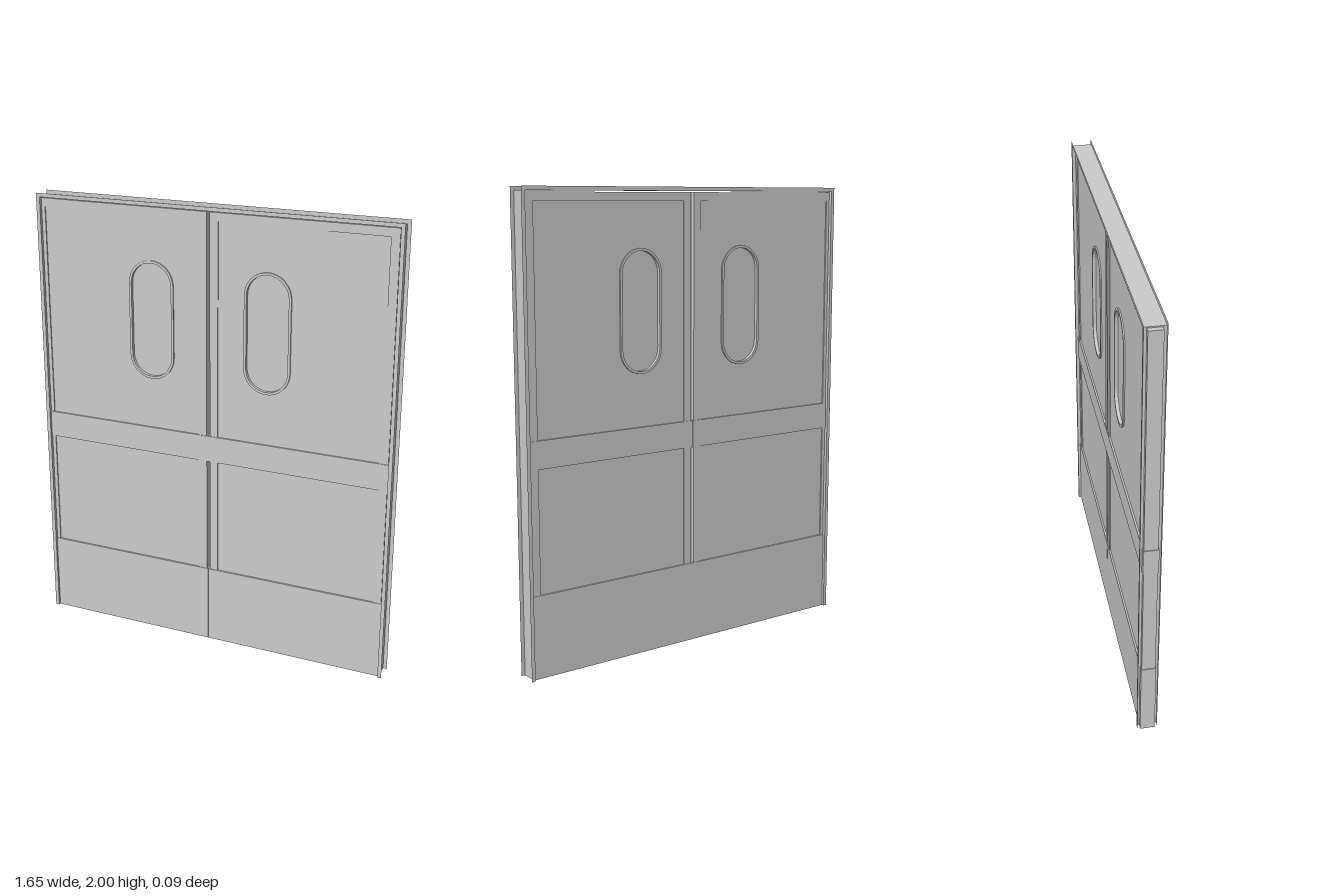
import * as THREE from 'three';

const grey = new THREE.MeshStandardMaterial({ color: 0xcccccc, flatShading: true });
const sheet = new THREE.MeshStandardMaterial({ color: 0xcccccc, flatShading: true, side: THREE.DoubleSide });

function add(parent, name, geometry, material = grey) {
  const mesh = new THREE.Mesh(geometry, material);
  mesh.name = name;
  parent.add(mesh);
  return mesh;
}

// Block between two x values and two y values, centred on z = 0
function block(x0, x1, y0, y1, depth) {
  return new THREE.BoxGeometry(Math.abs(x1 - x0), y1 - y0, depth)
    .translate((x0 + x1) / 2, (y0 + y1) / 2, 0);
}

function rect(path, x0, x1, y0, y1) {
  path.moveTo(x0, y0);
  path.lineTo(x1, y0);
  path.lineTo(x1, y1);
  path.lineTo(x0, y1);
  path.closePath();
  return path;
}

// Upright window outline with half-round ends
function stadium(path, cx, r, yLow, yHigh) {
  path.absarc(cx, yHigh, r, 0, Math.PI, false);
  path.absarc(cx, yLow, r, Math.PI, Math.PI * 2, false);
  path.closePath();
  return path;
}

function slab(shape, depth) {
  return new THREE.ExtrudeGeometry(shape, { depth, bevelEnabled: false, curveSegments: 8 })
    .translate(0, 0, -depth / 2);
}

const MIDDLE = -0.0125; // where the two leaves meet
const TOP = 1.978;
const LEAF = { gap: 0.0075, width: 0.806, inset: 0.037 };
const WINDOW = { offset: 0.268, low: 1.33, high: 1.645, outer: 0.105, inner: 0.094 };

function makeLeaf(side) {
  const leaf = new THREE.Group();
  leaf.name = side < 0 ? 'rightDoor' : 'leftDoor';
  const at = (d) => MIDDLE + side * d;
  const span = (a, b) => [Math.min(at(a), at(b)), Math.max(at(a), at(b))];
  const near = LEAF.gap, far = LEAF.gap + LEAF.width, i = LEAF.inset;
  const cx = at(WINDOW.offset);

  // Border of stiles and rails around the sunken panel
  const border = rect(new THREE.Shape(), ...span(near, far), 0.003, TOP);
  border.holes.push(rect(new THREE.Path(), ...span(near + i, far - i), 0.04, TOP - i));
  add(leaf, 'doorBorder', slab(border, 0.058));

  // Sunken panel with the window opening
  const panel = rect(new THREE.Shape(), ...span(near + i, far - i), 0.04, TOP - i);
  panel.holes.push(stadium(new THREE.Path(), cx, WINDOW.inner, WINDOW.low, WINDOW.high));
  add(leaf, 'doorPanel', slab(panel, 0.048));

  // Window trim and pane
  const trim = stadium(new THREE.Shape(), cx, WINDOW.outer, WINDOW.low, WINDOW.high);
  trim.holes.push(stadium(new THREE.Path(), cx, WINDOW.inner, WINDOW.low, WINDOW.high));
  add(leaf, 'windowTrim', slab(trim, 0.06));
  const pane = stadium(new THREE.Shape(), cx, WINDOW.inner, WINDOW.low, WINDOW.high);
  add(leaf, 'windowPane', slab(pane, 0.03));

  // Bumper rail and kick plate wrapping the leaf
  add(leaf, 'bumperRail', block(at(0.0005), at(far + 0.003), 0.88, 0.998, 0.064));
  add(leaf, 'kickPlate', block(at(0.0005), at(far + 0.003), 0, 0.355, 0.064));
  return leaf;
}

function makeFrame() {
  const frame = new THREE.Group();
  frame.name = 'doorFrame';
  const inX = 0.806, outX = 0.823, inY = 1.983, outY = 2, z = 0.043;

  // Webs of the outward-facing channel
  for (const s of [-1, 1]) {
    const web = add(frame, 'jambWeb', new THREE.PlaneGeometry(2 * z, inY), sheet);
    web.rotation.y = s * Math.PI / 2;
    web.position.set(s * inX, inY / 2, 0);
  }
  const head = add(frame, 'headWeb', new THREE.PlaneGeometry(2 * inX, 2 * z), sheet);
  head.rotation.x = -Math.PI / 2;
  head.position.y = inY;

  // Thin flanges on the front and back
  const flange = new THREE.Shape();
  flange.moveTo(-outX, 0);
  [[-inX, 0], [-inX, inY], [inX, inY], [inX, 0], [outX, 0], [outX, outY], [-outX, outY]]
    .forEach(([x, y]) => flange.lineTo(x, y));
  flange.closePath();
  for (const s of [-1, 1]) {
    const name = s > 0 ? 'frontFlange' : 'backFlange';
    add(frame, name, new THREE.ShapeGeometry(flange), sheet).position.z = s * z;
  }
  return frame;
}

export function createModel() {
  const model = new THREE.Group();
  model.name = 'doubleSwingDoor';
  model.add(makeFrame(), makeLeaf(-1), makeLeaf(1));
  return model;
}
